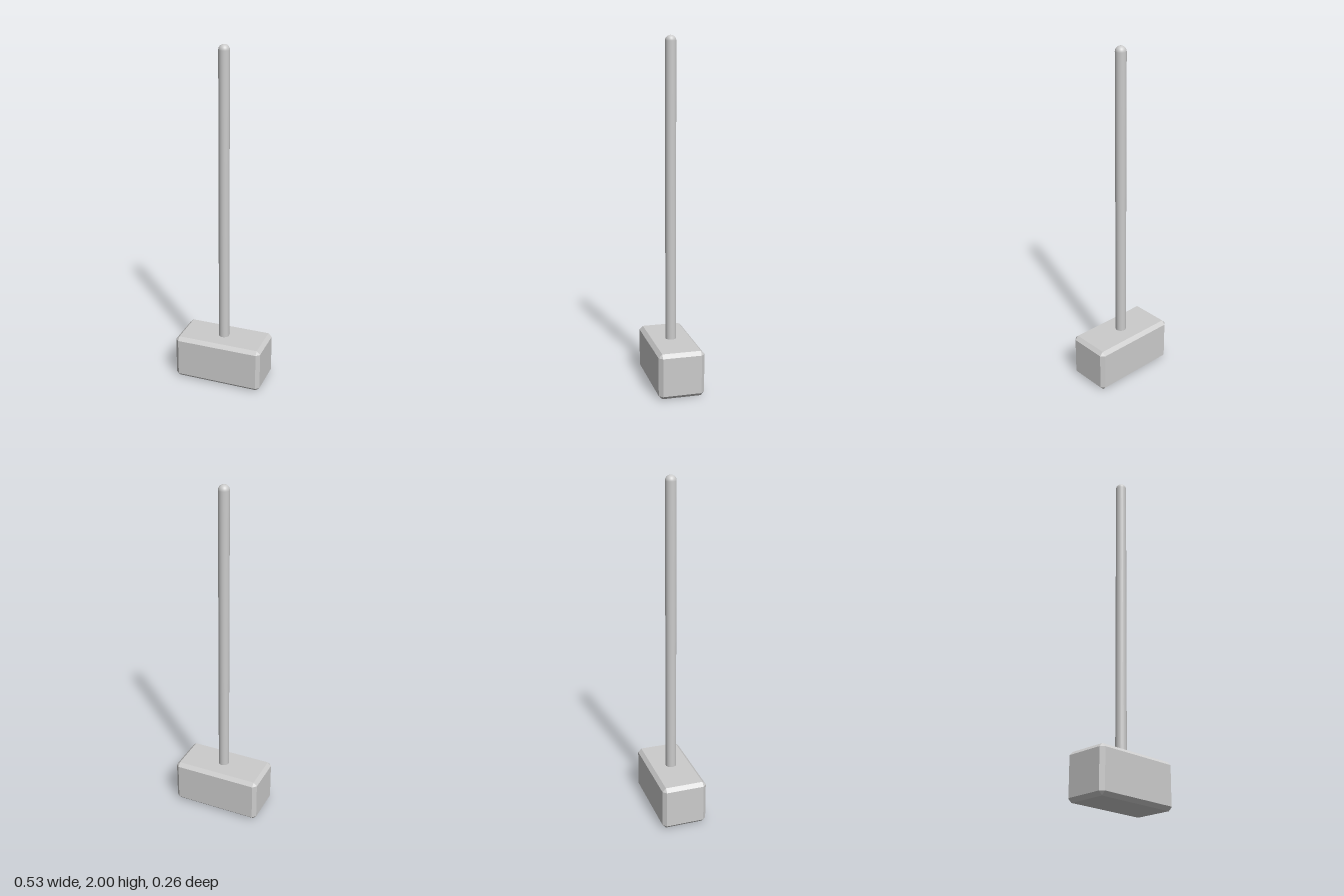
import * as THREE from 'three';
import { ConvexGeometry } from 'three/addons/geometries/ConvexGeometry.js';

const material = new THREE.MeshStandardMaterial({ color: 0xcccccc });

// Box with every edge bevelled flat and a small triangle at each corner
function chamferedBox(width, height, depth, bevel) {
  const points = [];
  for (const sx of [-1, 1]) for (const sy of [-1, 1]) for (const sz of [-1, 1]) {
    const x = width / 2, y = height / 2, z = depth / 2;
    points.push(
      new THREE.Vector3(sx * x, sy * (y - bevel), sz * (z - bevel)),
      new THREE.Vector3(sx * (x - bevel), sy * y, sz * (z - bevel)),
      new THREE.Vector3(sx * (x - bevel), sy * (y - bevel), sz * z)
    );
  }
  return new ConvexGeometry(points);
}

// Straight round rod with a hemispherical top
function roundedRod(radius, bottom, top) {
  const profile = [new THREE.Vector2(0, bottom), new THREE.Vector2(radius, bottom)];
  const steps = 12;
  for (let i = 0; i <= steps; i++) {
    const a = (i / steps) * Math.PI / 2;
    const r = i === steps ? 0 : radius * Math.cos(a);
    profile.push(new THREE.Vector2(r, top - radius + radius * Math.sin(a)));
  }
  return new THREE.LatheGeometry(profile, 48);
}

export function createModel() {
  const model = new THREE.Group();
  model.name = 'hammer';

  // Block-shaped striking head
  const headHeight = 0.266;
  const head = new THREE.Mesh(chamferedBox(0.53, headHeight, 0.265, 0.021), material);
  head.name = 'head';
  head.position.y = headHeight / 2;
  model.add(head);

  // Long handle, set into the top of the head
  const handle = new THREE.Mesh(roundedRod(0.031, 0.15, 2), material);
  handle.name = 'handle';
  model.add(handle);

  return model;
}
